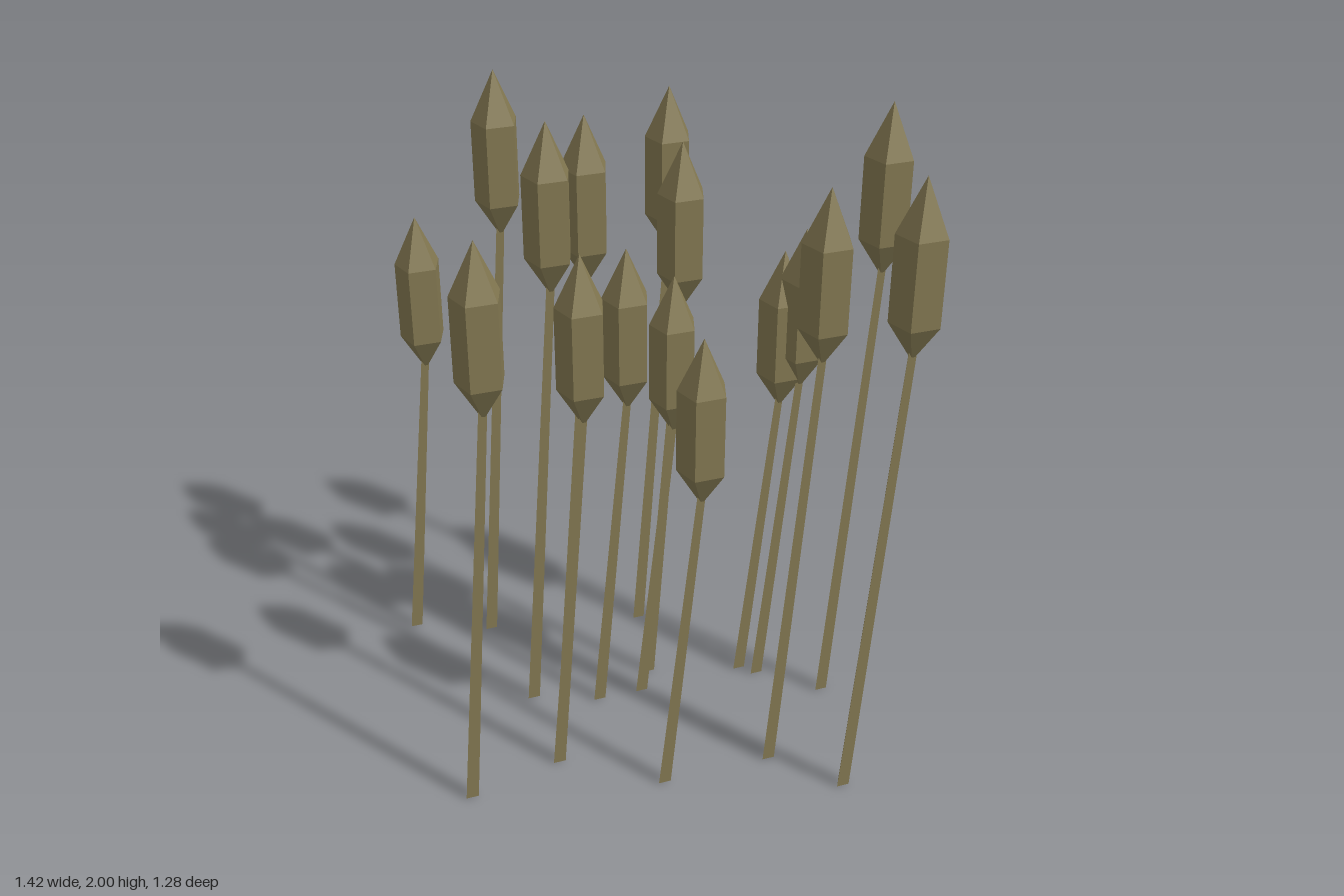
import * as THREE from 'three';

// x, z of each head and the height of its tip
const REEDS = [
  [-0.587, -0.57, 1.515], [-0.34, -0.485, 1.98], [0.167, -0.41, 1.91], [-0.138, -0.213, 1.92],
  [-0.275, -0.085, 1.96], [0.122, -0.115, 1.85], [-0.07, -0.02, 1.59], [0.073, -0.025, 1.485],
  [0.417, -0.05, 1.51], [0.465, -0.01, 1.59], [0.643, 0.127, 2.0], [-0.263, 0.238, 1.71],
  [-0.552, 0.32, 1.82], [0.027, 0.413, 1.51], [0.367, 0.397, 1.89], [0.547, 0.573, 1.97],
];
const TURN = Math.PI + 0.06;   // shared twist of the facets
const LEAN = -0.105;           // stem foot relative to the head
const HEAD_LENGTH = 0.518;

export function createModel() {
  const group = new THREE.Group();
  group.name = 'reeds';
  const material = new THREE.MeshStandardMaterial({ color: 0x847952, flatShading: true });

  // five-sided spindle, origin at the lower point
  const headGeometry = new THREE.LatheGeometry(
    [[0, 0], [0.072, 0.115], [0.072, 0.363], [0, HEAD_LENGTH]].map(([r, y]) => new THREE.Vector2(r, y)),
    5, TURN);

  REEDS.forEach(([x, z, tip]) => {
    const reed = new THREE.Group();
    reed.name = 'reed';
    reed.position.set(x, 0, z);
    const headBase = tip - HEAD_LENGTH;

    const head = new THREE.Mesh(headGeometry, material);
    head.name = 'seedHead';
    head.position.y = headBase;

    // tapering three-sided stem, sheared so the foot stays flat on the ground
    const length = headBase + 0.06;
    const stemGeometry = new THREE.CylinderGeometry(0.014, 0.022, length, 3, 1, false, TURN);
    stemGeometry.translate(0, length / 2, 0);
    const p = stemGeometry.attributes.position;
    for (let i = 0; i < p.count; i++) p.setX(i, p.getX(i) + LEAN * (1 - p.getY(i) / length));
    stemGeometry.computeVertexNormals();
    const stem = new THREE.Mesh(stemGeometry, material);
    stem.name = 'stem';

    reed.add(stem, head);
    group.add(reed);
  });
  return group;
}
